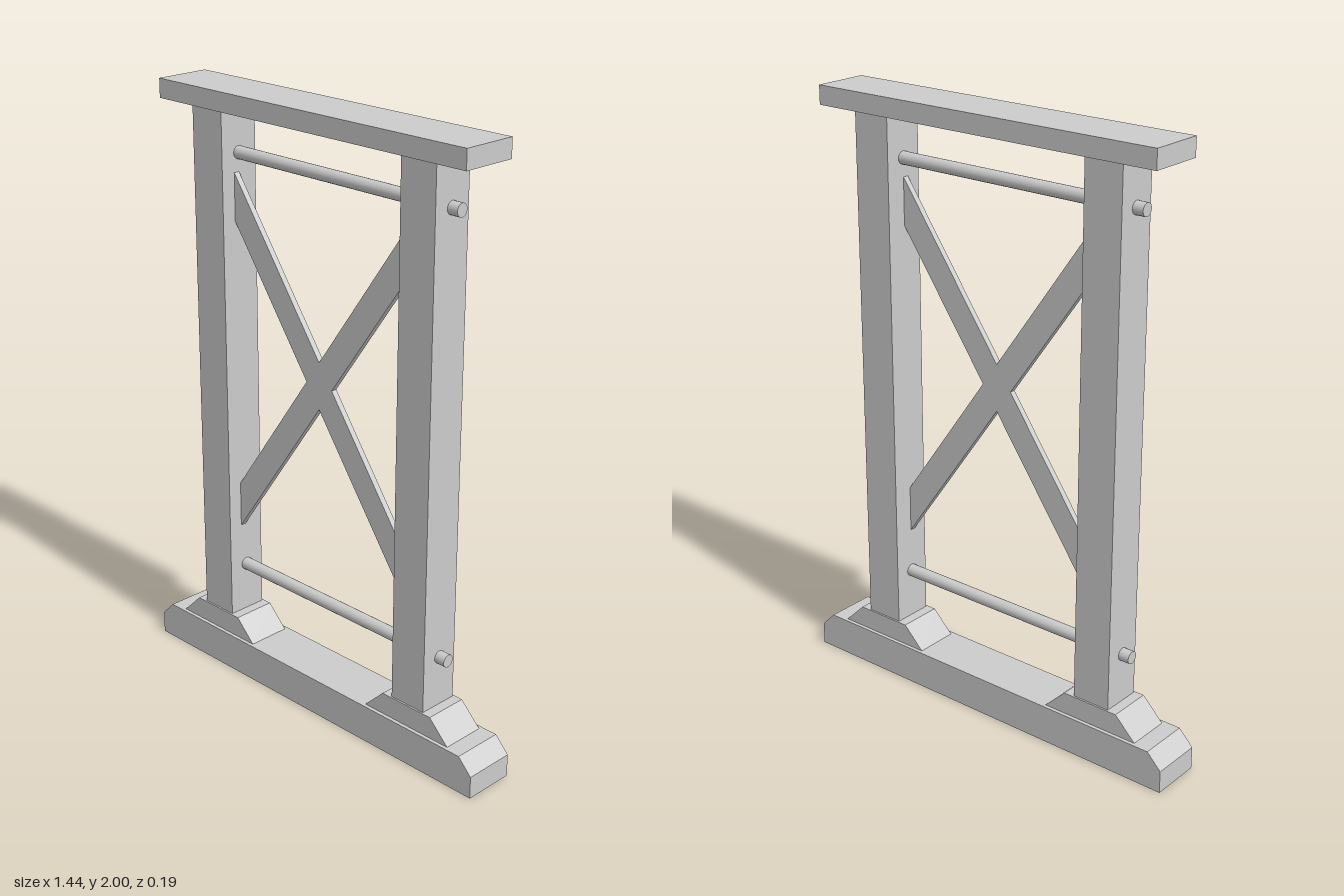
import * as THREE from 'three';

const grey = new THREE.MeshStandardMaterial({ color: 0xcccccc });
grey.name = 'plain grey';

export function createModel() {
  const model = new THREE.Group();
  model.name = 'trestleFrame';

  const add = (name, geometry, x = 0, y = 0, z = 0) => {
    const mesh = new THREE.Mesh(geometry, grey);
    mesh.name = name;
    mesh.position.set(x, y, z);
    model.add(mesh);
    return mesh;
  };

  // Front outline extruded between two depths
  const slab = (points, z0, z1) => {
    const shape = new THREE.Shape(points.map(([x, y]) => new THREE.Vector2(x, y)));
    return new THREE.ExtrudeGeometry(shape, { depth: z1 - z0, bevelEnabled: false }).translate(0, 0, z0);
  };

  // Top beam
  add('topBeam', new THREE.BoxGeometry(1.266, 0.062, 0.187), 0, 1.969, 0);

  // Base beam with chamfered upper ends
  add('baseBeam', slab([
    [-0.722, 0], [0.722, 0], [0.722, 0.076], [0.672, 0.127], [-0.672, 0.127], [-0.722, 0.076],
  ], -0.0875, 0.0875));

  // Posts and their sloped footings
  for (const [side, s] of [['left', 1], ['right', -1]]) {
    add(side + 'Post', new THREE.BoxGeometry(0.132, 1.738, 0.138), s * 0.44, 1.069, 0);
    add(side + 'Footing', slab([
      [-0.174, 0.127], [0.174, 0.127], [0.1, 0.2], [-0.1, 0.2],
    ], -0.075, 0.075), s * 0.44, 0, 0);
  }

  // Round tie rods passing through both posts
  for (const [name, y] of [['upperRod', 1.795], ['lowerRod', 0.37]]) {
    add(name, new THREE.CylinderGeometry(0.021, 0.021, 1.086, 20).rotateZ(Math.PI / 2), 0, y, 0);
  }

  // Cross brace: one flat X cut flush with the posts
  const x = 0.375, mid = 1.127, half = 0.078, rise = 0.53;
  const notch = half * x / rise;
  add('crossBrace', slab([
    [-x, -rise - half], [0, -half], [x, -rise - half], [x, -rise + half],
    [notch, 0], [x, rise - half], [x, rise + half], [0, half],
    [-x, rise + half], [-x, rise - half], [-notch, 0], [-x, -rise + half],
  ], 0, 0.02), 0, mid, 0);

  return model;
}
